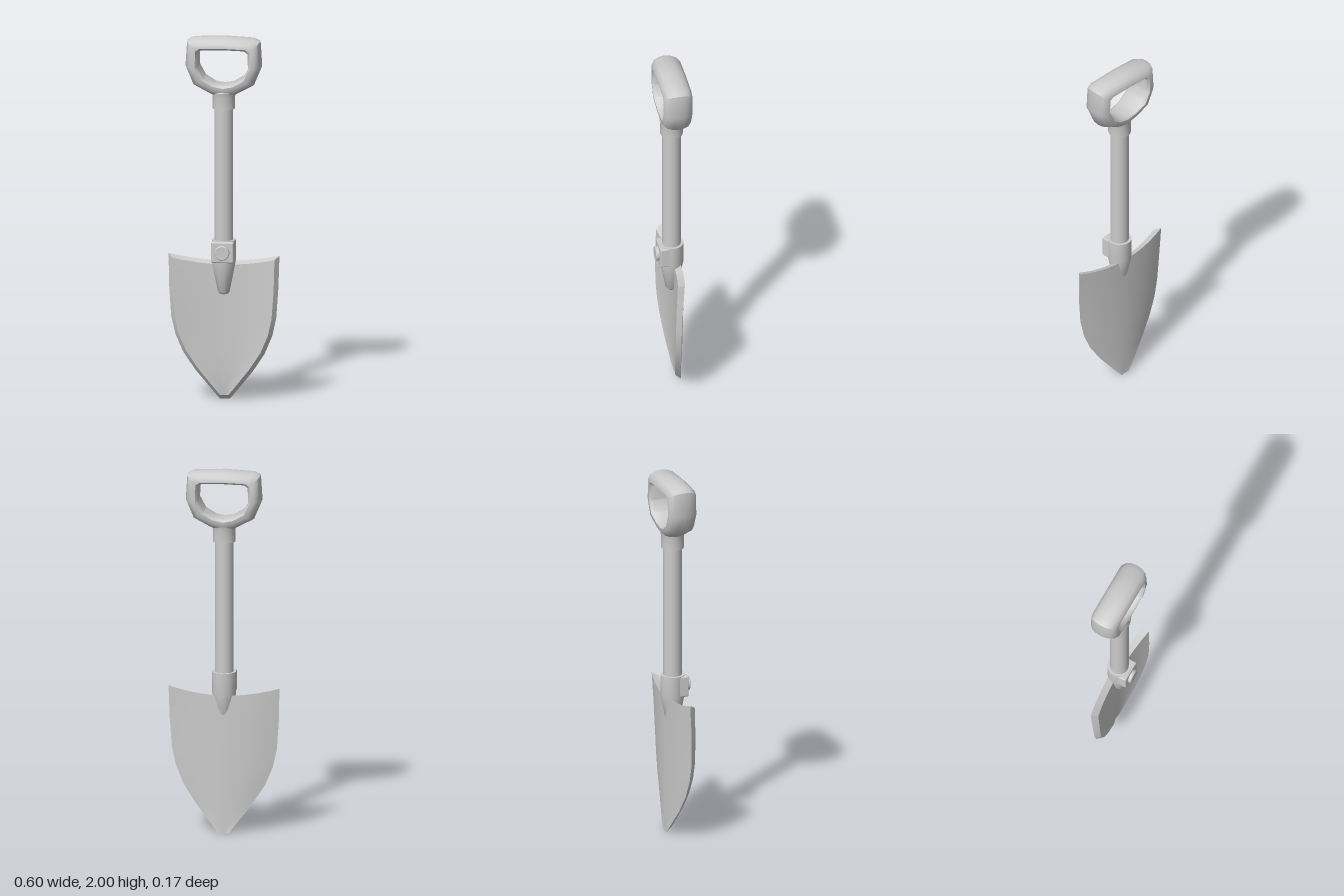
import * as THREE from 'three';
import { toCreasedNormals } from 'three/addons/utils/BufferGeometryUtils.js';
import { RoundedBoxGeometry } from 'three/addons/geometries/RoundedBoxGeometry.js';

const material = new THREE.MeshStandardMaterial({ color: 0xcccccc });
const AXIS_Z = -0.005; // depth of the shaft axis

// Skin closed cross-section loops (arrays of [x, y, z]); ring joins the last loop to the first,
// otherwise each end is closed by a strip between the two halves of the loop.
function skin(loops, ring, crease) {
  const n = loops[0].length, rows = loops.length, index = [];
  const quad = (a, b, c, d) => index.push(a, b, c, a, c, d);
  for (let i = 0; i < (ring ? rows : rows - 1); i++) {
    const r0 = i * n, r1 = ((i + 1) % rows) * n;
    for (let j = 0; j < n; j++) {
      const k = (j + 1) % n;
      quad(r0 + j, r0 + k, r1 + k, r1 + j);
    }
  }
  if (!ring) {
    const top = (rows - 1) * n;
    for (let j = 0; j < n / 2 - 1; j++) {
      quad(top + j, top + j + 1, top + n - 2 - j, top + n - 1 - j);
      quad(n - 1 - j, n - 2 - j, j + 1, j);
    }
  }
  const g = new THREE.BufferGeometry();
  g.setAttribute('position', new THREE.Float32BufferAttribute(loops.flat(2), 3));
  g.setIndex(index);
  return toCreasedNormals(g, crease);
}

function lathe(points, segments) {
  const g = new THREE.LatheGeometry(points.map(([r, y]) => new THREE.Vector2(r, y)), segments);
  return toCreasedNormals(g, 0.6);
}

// Dished blade: the rear sheet bows backward, the smaller front sheet leaves a bevelled rim
function bladeGeometry() {
  const rows = [ // rear y, half width, rim z | front y, half width, edge z, middle z
    [0.00, 0.027, -0.050, 0.025, 0.022, -0.022, -0.027],
    [0.04, 0.060, -0.044, 0.058, 0.048, -0.014, -0.022],
    [0.16, 0.155, -0.022, 0.172, 0.137, 0.004, -0.016],
    [0.26, 0.220, -0.010, 0.268, 0.200, 0.015, -0.014],
    [0.36, 0.262, -0.003, 0.364, 0.241, 0.023, -0.014],
    [0.46, 0.284, 0.000, 0.460, 0.262, 0.027, -0.013],
    [0.62, 0.295, -0.004, 0.610, 0.273, 0.026, -0.012],
    [0.80, 0.300, -0.014, 0.782, 0.277, 0.020, -0.012],
  ];
  const steps = 14, rearMiddle = -0.047;
  const sheet = (y, w, edge, middle) => Array.from({ length: steps + 1 }, (_, k) => {
    const u = (2 * k) / steps - 1;
    const dip = 0.04 * (1 - u * u) * Math.pow(y / 0.8, 3);
    return [u * w, y - dip, middle + (edge - middle) * u * u];
  });
  const loops = rows.map(([y, w, z, fy, fw, fz, fm]) =>
    [...sheet(fy, fw, fz, fm), ...sheet(y, w, z, rearMiddle).reverse()]);
  return skin(loops, false, 0.45);
}

// D-shaped grip: a section, flat inside and round outside, carried around the loop
function gripGeometry() {
  const half = [ // outer x, y | inner x, y | half depth
    [0.000, 2.000, 0.000, 1.935, 0.078],
    [0.165, 1.992, 0.115, 1.932, 0.078],
    [0.198, 1.975, 0.135, 1.918, 0.078],
    [0.207, 1.840, 0.138, 1.835, 0.078],
    [0.163, 1.735, 0.105, 1.775, 0.077],
    [0.070, 1.685, 0.050, 1.743, 0.070],
    [0.000, 1.660, 0.000, 1.735, 0.067],
  ];
  const mirrored = half.slice(1, -1).reverse().map(([a, b, c, d, h]) => [-a, b, -c, d, h]);
  const side = [[0, 0.82], [0.16, 1], [0.5, 0.97], [0.8, 0.74], [0.95, 0.4]];
  const section = [...side.map(([t, s]) => [t, -s]), [1, 0], ...side.slice().reverse()];
  const loops = [...half, ...mirrored].map(([ox, oy, ix, iy, h]) =>
    section.map(([t, s]) => [ix + (ox - ix) * t, iy + (oy - iy) * t, -0.008 + s * h]));
  return skin(loops, true, 0.75);
}

export function createModel() {
  const model = new THREE.Group();
  const add = (name, geometry, y = 0, z = 0) => {
    const mesh = new THREE.Mesh(geometry, material);
    mesh.name = name;
    mesh.position.set(0, y, z);
    model.add(mesh);
    return mesh;
  };

  add('blade', bladeGeometry());
  add('grip', gripGeometry());
  add('shaft', new THREE.CylinderGeometry(0.05, 0.05, 0.9, 24), 1.2, AXIS_Z);

  // Collar below the grip, flaring into it
  add('collar', lathe([[0.048, 1.605], [0.061, 1.605], [0.061, 1.67], [0.066, 1.695], [0.05, 1.72], [0, 1.725]], 24), 0, AXIS_Z);

  // Tapered socket running down into the blade
  add('socket', lathe([[0, 0.585], [0.022, 0.587], [0.032, 0.6], [0.065, 0.77], [0.065, 0.885], [0.048, 0.885]], 24), 0, AXIS_Z);

  // Square boss and bolt on the socket
  add('boss', new RoundedBoxGeometry(0.122, 0.115, 0.075, 2, 0.008), 0.825, 0.03);
  const bolt = add('bolt', lathe([[0.04, 0], [0.04, 0.027], [0.036, 0.031], [0.03, 0.031], [0, 0.028]], 20), 0.825, 0.055);
  bolt.rotation.x = Math.PI / 2;

  return model;
}
